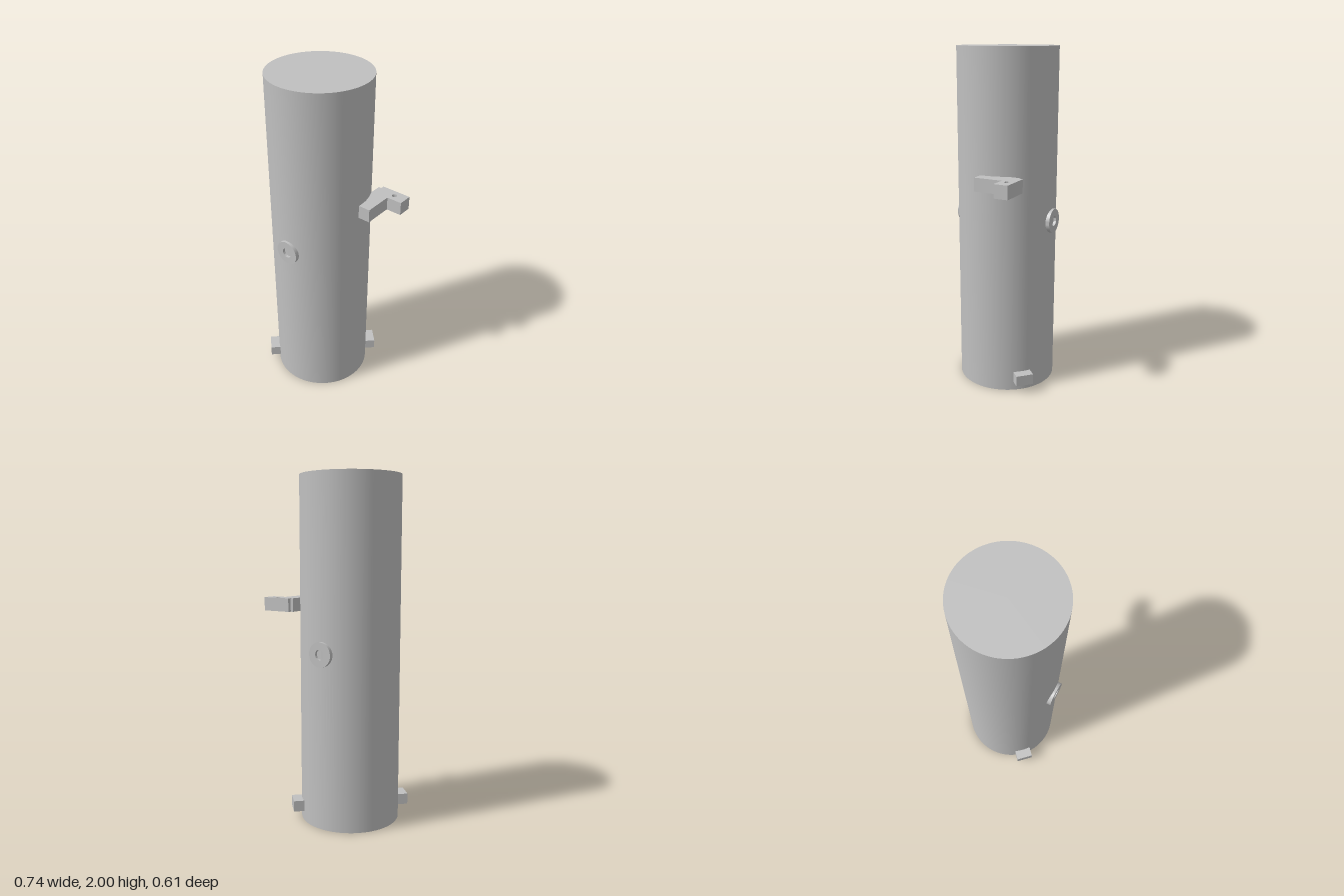
import * as THREE from 'three';
import { toCreasedNormals } from 'three/addons/utils/BufferGeometryUtils.js';

const AXIS_X = -0.081; // tube axis
const RADIUS = 0.29;

const grey = new THREE.MeshStandardMaterial({ color: 0xc0c0c0 });
grey.name = 'grey';

function turned(profile, segments) {
  const points = profile.map(([r, y]) => new THREE.Vector2(r, y));
  return toCreasedNormals(new THREE.LatheGeometry(points, segments), 0.6);
}

export function createModel() {
  const group = new THREE.Group();
  const add = (name, geometry) => {
    const mesh = new THREE.Mesh(geometry, grey);
    mesh.name = name;
    group.add(mesh);
    return mesh;
  };

  // Hollow tube, closed at the top and open at the bottom
  add('tube', turned([
    [0, 1.97], [0.258, 1.97], [0.258, 0], [RADIUS, 0], [RADIUS, 2], [0, 2],
  ], 96)).position.x = AXIS_X;

  // Round bosses with a centre hole, front and back
  const bossGeometry = turned([
    [0.071, 0.27], [0.071, 0.305], [0.029, 0.305], [0.029, 0.285],
  ], 48).rotateX(Math.PI / 2);
  for (const [name, turn] of [['frontBoss', 0], ['backBoss', Math.PI]]) {
    const boss = add(name, bossGeometry);
    boss.position.set(AXIS_X, 1.015, 0);
    boss.rotation.y = turn;
  }

  // Two block lugs near the foot, on opposite diagonals
  const lugGeometry = new THREE.BoxGeometry(0.103, 0.064, 0.075).translate(0, 0, 0.3085);
  for (const [name, turn] of [['frontLug', -Math.PI / 4], ['backLug', Math.PI * 0.75]]) {
    const lug = add(name, lugGeometry);
    lug.position.set(AXIS_X, 0.086, 0);
    lug.rotation.y = turn;
  }

  // Stepped side bracket with a pin hole, drawn as (x, -z) and extruded upwards
  const outline = [
    [0.198, -0.02], [0.279, -0.02], [0.279, 0.149], [0.37, 0.149], [0.37, 0.233],
    [0.192, 0.233], [0.192, 0.211], [0.175, 0.211], [0.175, 0.125],
  ];
  const shape = new THREE.Shape(outline.map(([x, y]) => new THREE.Vector2(x, y)));
  shape.holes.push(new THREE.Path().absarc(0.298, 0.191, 0.015, 0, Math.PI * 2, true));
  const bracket = new THREE.ExtrudeGeometry(shape, { depth: 0.078, bevelEnabled: false, curveSegments: 24 });
  bracket.rotateX(-Math.PI / 2);
  add('sideBracket', toCreasedNormals(bracket, 0.6)).position.y = 1.23;

  return group;
}
